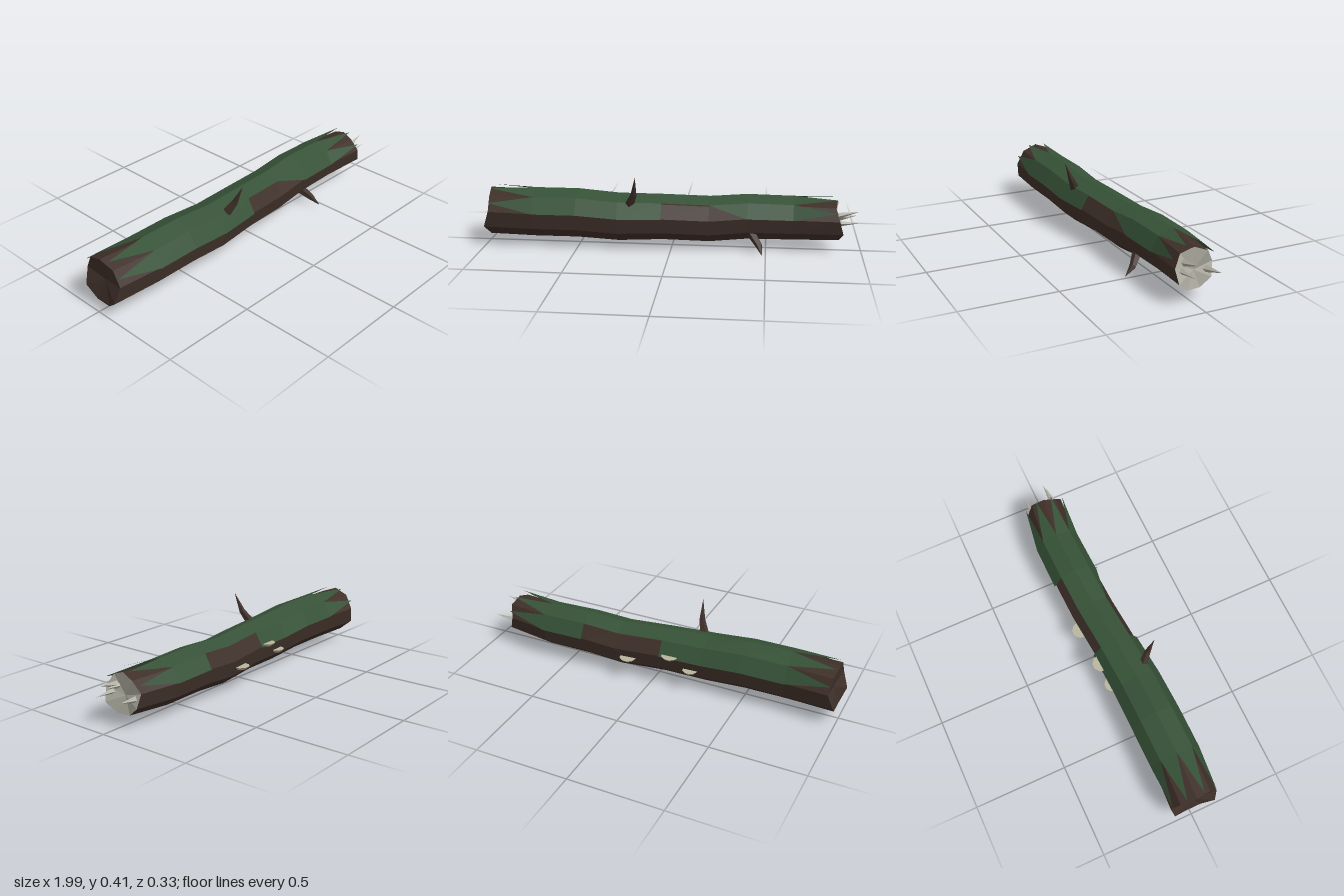
import * as THREE from 'three';

const mat = (color) => new THREE.MeshStandardMaterial({ color, flatShading: true, roughness: 0.9, side: THREE.DoubleSide });
const BARK = mat(0x3f3029), MOSS = mat(0x365237), WOOD = mat(0xb2b0a4), FUNGUS = mat(0xb8b59c);

const SIDES = 9;
// Trunk stations: x, centre y, centre z, radius
const RINGS = [
  [-0.97, 0.175, 0.015, 0.128], [-0.73, 0.172, 0.027, 0.127], [-0.5, 0.172, 0.025, 0.127],
  [-0.28, 0.156, 0.022, 0.124], [-0.05, 0.157, 0.005, 0.118], [0.2, 0.147, -0.015, 0.118],
  [0.4, 0.163, -0.025, 0.116], [0.64, 0.161, -0.03, 0.113], [0.87, 0.165, -0.008, 0.106],
];
const LAST = RINGS.length - 1;
// Ragged x offsets of the two ends, one per corner
const LEFT_RAG = [0, 0, -0.01, 0, 0.01, -0.02, -0.01, -0.01, -0.03];
const RIGHT_RAG = [0.01, -0.01, 0, 0.01, -0.01, 0.01, 0.0, 0.01, 0.03];

// Point on the trunk at station i, corner k (may be fractional), lifted outward
function onTrunk(i, k, lift = 0) {
  const [x, y, z, r] = RINGS[i];
  const a = THREE.MathUtils.degToRad(10 + 40 * k);
  const n = ((Math.round(k) % SIDES) + SIDES) % SIDES;
  const rag = lift ? 0 : i === 0 ? LEFT_RAG[n] : i === LAST ? RIGHT_RAG[n] : 0;
  return new THREE.Vector3(x + rag, y + Math.sin(a) * (r + lift), z + Math.cos(a) * (r + lift));
}

function triMesh(name, points, material) {
  const g = new THREE.BufferGeometry().setFromPoints(points);
  g.computeVertexNormals();
  const m = new THREE.Mesh(g, material);
  m.name = name;
  return m;
}

const quad = (a, b, c, d) => [a, b, c, a, c, d];

function bark() {
  const pts = [];
  for (let i = 0; i < LAST; i++)
    for (let k = 0; k < SIDES; k++)
      pts.push(...quad(onTrunk(i, k), onTrunk(i + 1, k), onTrunk(i + 1, k + 1), onTrunk(i, k + 1)));
  return triMesh('bark', pts, BARK);
}

function endCap(name, i, centre, material) {
  const pts = [];
  for (let k = 0; k < SIDES; k++) {
    const a = onTrunk(i, k), b = onTrunk(i, k + 1);
    pts.push(centre, ...(i === 0 ? [a, b] : [b, a]));
  }
  return triMesh(name, pts, material);
}

// Moss strips over the upper four facets, with pointed ends
function moss() {
  const lift = 0.011, pts = [];
  const p = (i, k) => onTrunk(i, k, lift);
  for (let k = 0; k < 4; k++) {
    const bare = k === 0 || k === 3;
    for (let i = 1; i < LAST - 1; i++) {
      if (bare && (i === 4 || i === 5)) continue;
      pts.push(...quad(p(i, k), p(i + 1, k), p(i + 1, k + 1), p(i, k + 1)));
    }
    pts.push(p(0, k + 0.5), p(1, k), p(1, k + 1));
    pts.push(p(LAST - 1, k), onTrunk(LAST, k + 0.5, 0.02), p(LAST - 1, k + 1));
  }
  pts.push(p(5, 1), p(6, 0), p(6, 1));
  return triMesh('moss', pts, MOSS);
}

// Bent tapering twig through three points
function twig(name, points, radii) {
  const [a, b, c] = points.map((q) => new THREE.Vector3(...q));
  const n = 5, pts = [];
  const axis = c.clone().sub(a).normalize();
  const u = new THREE.Vector3(1, 0, 0).cross(axis).normalize();
  const v = axis.clone().cross(u);
  const ring = (o, r, k) => o.clone().addScaledVector(u, r * Math.cos((k * 2 * Math.PI) / n)).addScaledVector(v, r * Math.sin((k * 2 * Math.PI) / n));
  for (let k = 0; k < n; k++) {
    const b0 = ring(b, radii[1], k), b1 = ring(b, radii[1], k + 1);
    pts.push(...quad(ring(a, radii[0], k), ring(a, radii[0], k + 1), b1, b0), b0, b1, c);
  }
  return triMesh(name, pts, BARK);
}

// Splinter of broken wood between two points
function splinter(from, to, radius) {
  const a = new THREE.Vector3(...from), b = new THREE.Vector3(...to);
  const d = b.clone().sub(a);
  const m = new THREE.Mesh(new THREE.ConeGeometry(radius, d.length(), 4), WOOD);
  m.position.copy(a).addScaledVector(d, 0.5);
  m.quaternion.setFromUnitVectors(new THREE.Vector3(0, 1, 0), d.normalize());
  m.name = 'splinter';
  return m;
}

export function createModel() {
  const log = new THREE.Group();
  log.name = 'mossyLog';
  log.add(
    bark(),
    endCap('cutEnd', 0, new THREE.Vector3(-0.955, 0.175, 0.015), BARK),
    endCap('brokenEnd', LAST, new THREE.Vector3(0.86, 0.155, -0.012), WOOD),
    moss(),
    twig('upperTwig', [[-0.225, 0.235, 0.085], [-0.19, 0.31, 0.125], [-0.177, 0.41, 0.166]], [0.027, 0.017]),
    twig('lowerTwig', [[0.42, 0.1, 0.04], [0.465, 0.042, 0.09], [0.483, 0.002, 0.142]], [0.026, 0.018]),
  );

  // Splinters on the broken end
  const splinters = new THREE.Group();
  splinters.name = 'splinters';
  splinters.add(
    splinter([0.86, 0.2, 0.043], [0.98, 0.225, 0.033], 0.018),
    splinter([0.86, 0.165, 0.06], [0.985, 0.168, 0.05], 0.017),
    splinter([0.86, 0.15, -0.075], [0.98, 0.168, -0.092], 0.018),
    splinter([0.86, 0.195, 0.03], [0.935, 0.196, 0.038], 0.014),
  );
  log.add(splinters);

  // Bracket fungi on the back
  for (const [x, y, z, r] of [[0.13, 0.12, -0.118, 0.047], [-0.11, 0.185, -0.105, 0.047], [-0.22, 0.12, -0.092, 0.042]]) {
    const f = new THREE.Mesh(new THREE.CylinderGeometry(r, r * 0.65, 0.016, 9), FUNGUS);
    f.position.set(x, y, z);
    f.name = 'bracketFungus';
    log.add(f);
  }
  return log;
}
